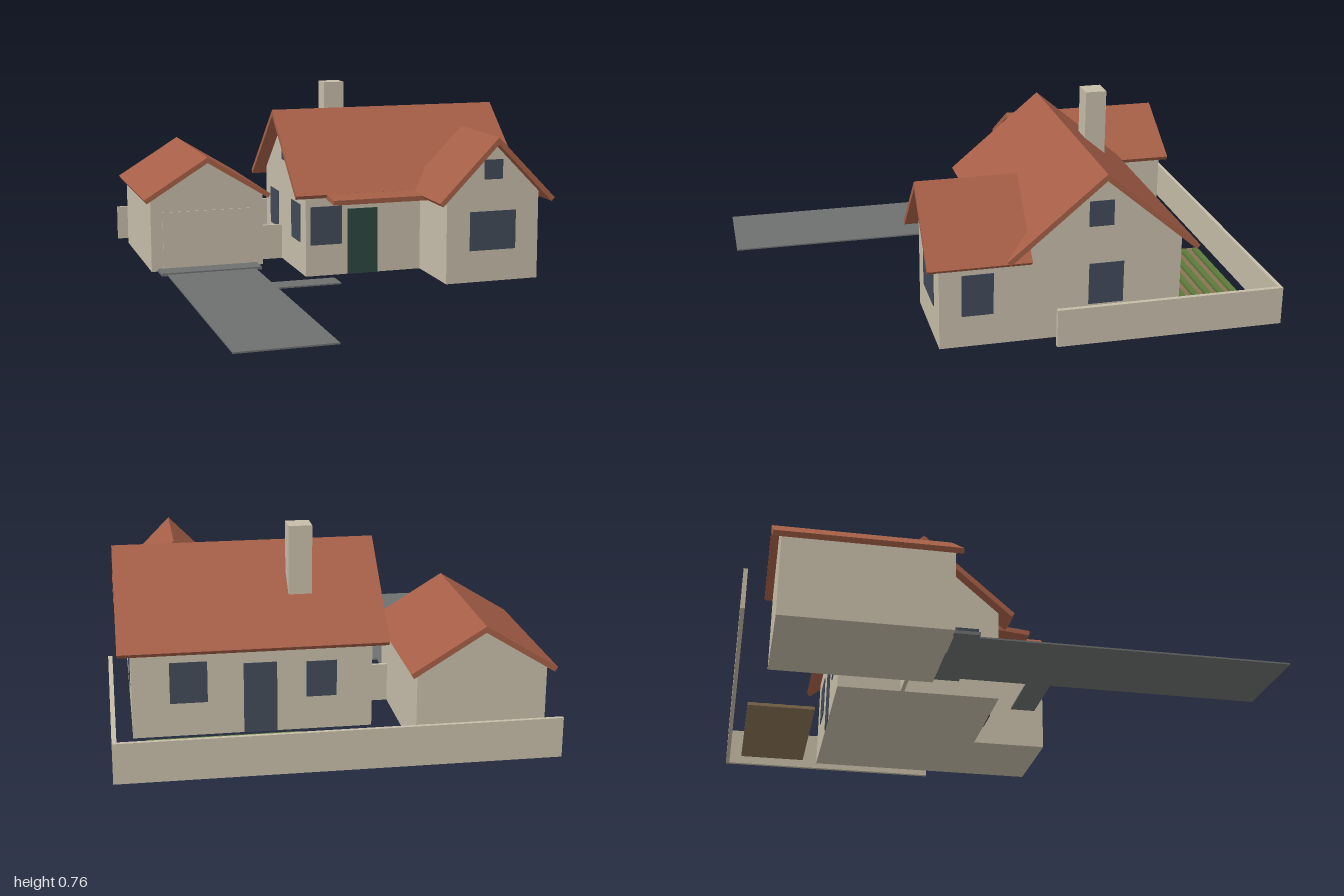
import * as THREE from 'three';

const mat = (name, color) => {
  const m = new THREE.MeshStandardMaterial({ color });
  m.name = name;
  return m;
};

export function createModel() {
  const wall = mat('stucco', 0xc6bda9);
  const tile = mat('terracotta', 0xa65f47);
  const glass = mat('glass', 0x414a58);
  const doorGreen = mat('doorGreen', 0x2c4741);
  const paving = mat('paving', 0x6e7070);
  const soil = mat('soil', 0x8b7355);
  const crop = mat('crop', 0x5c7a3b);

  const root = new THREE.Group();
  root.name = 'house';

  const add = (name, geometry, material, parent = root) => {
    const mesh = new THREE.Mesh(geometry, material);
    mesh.name = name;
    parent.add(mesh);
    return mesh;
  };

  // Box given by its limits on each axis
  const block = (name, material, [x0, x1], [y0, y1], [z0, z1]) => {
    const mesh = add(name, new THREE.BoxGeometry(x1 - x0, y1 - y0, z1 - z0), material);
    mesh.position.set((x0 + x1) / 2, (y0 + y1) / 2, (z0 + z1) / 2);
    return mesh;
  };

  const prism = (points, length) => new THREE.ExtrudeGeometry(
    new THREE.Shape(points.map(([x, y]) => new THREE.Vector2(x, y))),
    { depth: length, bevelEnabled: false });

  // Gabled volume along z: pentagon walls under a chevron roof slab
  const gabled = (name, { halfWall, halfRoof, ridge, eave, walls, roof }) => {
    const group = new THREE.Group();
    group.name = name;
    root.add(group);
    const t = 0.02;
    const angle = Math.atan2(ridge - eave, halfRoof);
    const apex = ridge - t / Math.cos(angle);
    const top = apex - Math.tan(angle) * halfWall;
    const inX = halfRoof - t * Math.sin(angle);
    const inY = eave - t * Math.cos(angle);
    add(name + 'Walls', prism([[-halfWall, 0], [halfWall, 0], [halfWall, top], [0, apex], [-halfWall, top]],
      walls[1] - walls[0]), wall, group).position.z = walls[0];
    add(name + 'Roof', prism([[halfRoof, eave], [0, ridge], [-halfRoof, eave], [-inX, inY], [0, apex], [inX, inY]],
      roof[1] - roof[0]), tile, group).position.z = roof[0];
    return group;
  };

  // Main house, its ridge running along x
  const main = gabled('mainHouse', {
    halfWall: 0.315, halfRoof: 0.37, ridge: 0.66, eave: 0.348,
    walls: [-0.18, 0.72], roof: [-0.235, 0.77],
  });
  main.rotation.y = Math.PI / 2;
  main.position.z = -0.295;

  // Front wing and garage
  gabled('frontWing', {
    halfWall: 0.2, halfRoof: 0.25, ridge: 0.595, eave: 0.34,
    walls: [0.0, 0.32], roof: [-0.02, 0.37],
  }).position.x = 0.52;
  gabled('garage', {
    halfWall: 0.24, halfRoof: 0.27, ridge: 0.477, eave: 0.31,
    walls: [-0.88, -0.26], roof: [-0.91, -0.235],
  }).position.x = -0.53;
  block('garageDoor', wall, [-0.72, -0.345], [0, 0.25], [-0.262, -0.256]);

  // Chimney
  block('chimney', wall, [0.03, 0.12], [0.4, 0.76], [-0.49, -0.405]);

  // Porch roof over the front door, sloping forward
  const porch = block('porchRoof', tile, [-0.105, 0.33], [0.326, 0.346], [0.02, 0.165]);
  porch.rotation.x = 0.1;

  // Panes facing front or back: [x0, x1, y0, y1, z]
  const d = 0.003;
  [
    [-0.16, -0.025, 0.13, 0.29, 0.02],
    [0.42, 0.62, 0.13, 0.29, 0.32],
    [0.48, 0.56, 0.42, 0.5, 0.32],
    [0.44, 0.58, 0.13, 0.29, -0.61],
    [-0.045, 0.07, 0.13, 0.27, -0.61],
    [0.18, 0.305, 0, 0.275, -0.61],
  ].forEach(([x0, x1, y0, y1, z], i) =>
    block(i === 5 ? 'backDoor' : 'window', glass, [x0, x1], [y0, y1], [z - d, z + d]));
  block('frontDoor', doorGreen, [0, 0.13], [0, 0.275], [0.02 - d, 0.02 + d]);

  // Panes on the side walls: [z0, z1, y0, y1, x]
  [
    [0.115, 0.235, 0.125, 0.29, 0.72],
    [-0.385, -0.25, 0.125, 0.29, 0.72],
    [-0.34, -0.245, 0.44, 0.54, 0.72],
    [-0.34, -0.245, 0.44, 0.54, -0.18],
    [-0.19, -0.06, 0.13, 0.29, -0.18],
    [-0.53, -0.4, 0.13, 0.29, -0.18],
  ].forEach(([z0, z1, y0, y1, x]) =>
    block('sideWindow', glass, [x - d, x + d], [y0, y1], [z0, z1]));

  // Garden walls
  block('backGardenWall', wall, [-0.8, 0.8], [0, 0.15], [-1, -0.985]);
  block('sideGardenWall', wall, [0.783, 0.8], [0, 0.15], [-0.985, -0.11]);
  block('linkWall', wall, [-0.29, -0.18], [0, 0.15], [-0.367, -0.352]);

  // Paving
  block('driveway', paving, [-0.72, -0.345], [0, 0.006], [-0.17, 1]);
  block('garageApron', paving, [-0.745, -0.32], [0, 0.012], [-0.26, -0.165]);
  block('footpath', paving, [-0.345, -0.08], [0, 0.006], [0.09, 0.185]);

  // Vegetable bed with planted rows
  block('gardenBed', soil, [0.08, 0.69], [0, 0.012], [-0.937, -0.672]);
  for (let i = 0; i < 5; i++) {
    const z = -0.915 + i * 0.0535;
    block('cropRow', crop, [0.11, 0.668], [0.01, 0.025], [z - 0.012, z + 0.012]);
  }

  return root;
}
